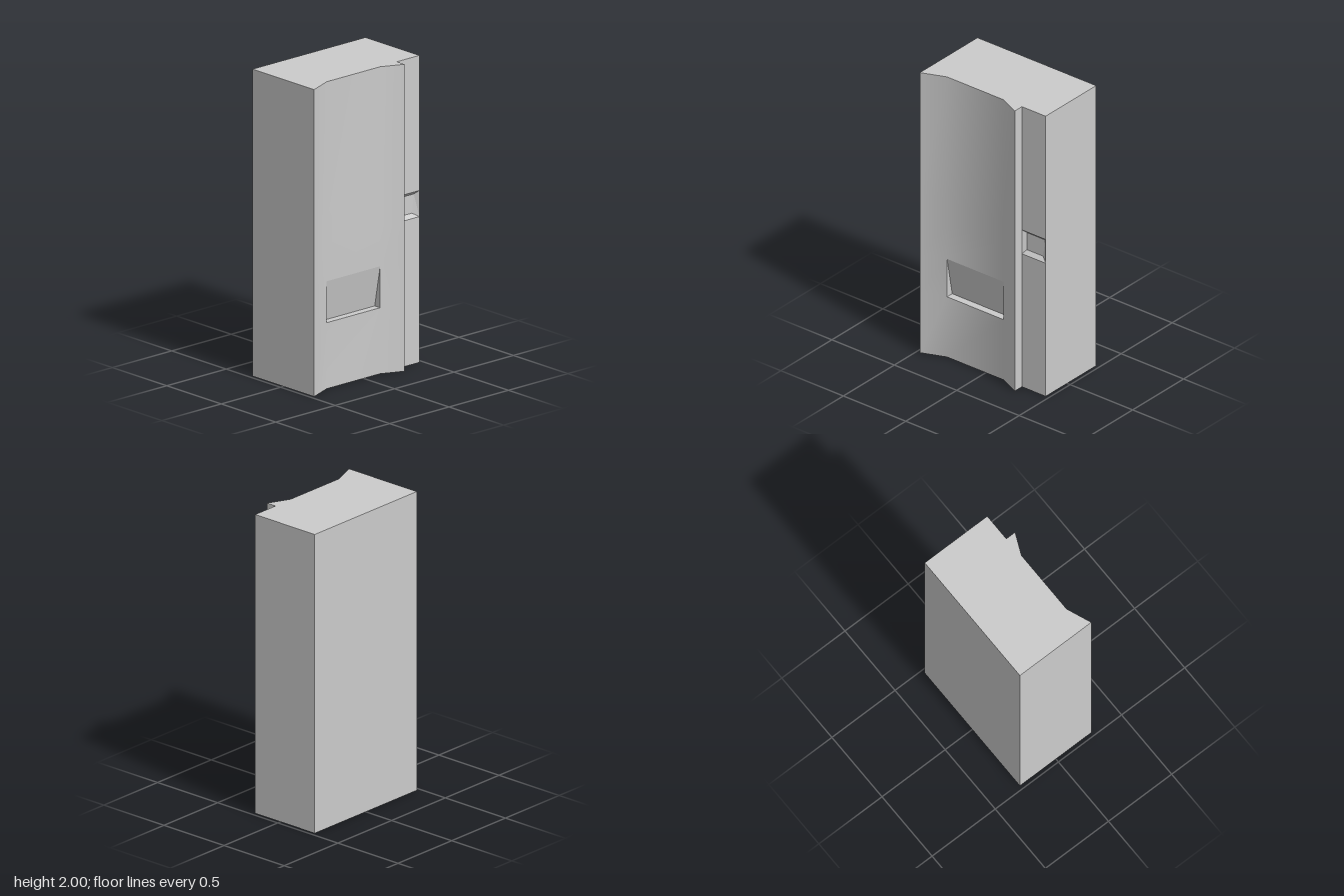
import * as THREE from 'three';
import { toCreasedNormals } from 'three/addons/utils/BufferGeometryUtils.js';

const material = new THREE.MeshStandardMaterial({ color: 0xcccccc });
const HEIGHT = 2;

// Plan outline as [x, z], front edge from left to right, then round the back
const outline = [
  [-0.475, 0.28], [-0.31, 0.215], [0.14, 0.215], [0.285, 0.28],
  [0.285, 0.21], [0.475, 0.21], [0.475, -0.285], [-0.475, -0.285],
];
// Openings in the front: outline segment and height range
const slot = { segment: 1, bottom: 0.43, top: 0.7 };
const grip = { segment: 4, bottom: 0.95, top: 1.12 };

// Mesh from polygons whose corners run counter-clockwise seen from outside
function polygonMesh(name, polygons, crease) {
  const positions = [];
  for (const p of polygons) {
    for (let i = 1; i < p.length - 1; i++) positions.push(...p[0], ...p[i], ...p[i + 1]);
  }
  let geometry = new THREE.BufferGeometry();
  geometry.setAttribute('position', new THREE.Float32BufferAttribute(positions, 3));
  geometry.computeVertexNormals();
  if (crease) geometry = toCreasedNormals(geometry, crease);
  const mesh = new THREE.Mesh(geometry, material);
  mesh.name = name;
  return mesh;
}

function cap(name, y, up) {
  const shape = new THREE.Shape(outline.map(([x, z]) => new THREE.Vector2(x, up ? -z : z)));
  const geometry = new THREE.ShapeGeometry(shape);
  geometry.rotateX(up ? -Math.PI / 2 : Math.PI / 2).translate(0, y, 0);
  const mesh = new THREE.Mesh(geometry, material);
  mesh.name = name;
  return mesh;
}

// Cabinet walls, in rows that leave the two openings free
function cabinetWalls() {
  const rows = [0, slot.bottom, slot.top, grip.bottom, grip.top, HEIGHT];
  const polygons = [];
  outline.forEach(([x0, z0], i) => {
    const [x1, z1] = outline[(i + 1) % outline.length];
    for (let r = 0; r < rows.length - 1; r++) {
      const y0 = rows[r], y1 = rows[r + 1];
      if ([slot, grip].some((o) => o.segment === i && o.bottom === y0)) continue;
      polygons.push([[x0, y0, z0], [x1, y0, z1], [x1, y1, z1], [x0, y1, z0]]);
    }
  });
  return polygonMesh('cabinetWalls', polygons, 0.6);
}

// Collection slot with a flap that leans inwards towards its lower edge
function collectionSlot() {
  const [[l, z], [r]] = [outline[1], outline[2]];
  const { bottom: b, top: t } = slot;
  const back = z - 0.05;
  return polygonMesh('collectionSlot', [
    [[l, b, back], [r, b, back], [r, t, z], [l, t, z]],
    [[l, b, z], [r, b, z], [r, b, back], [l, b, back]],
    [[l, b, z], [l, b, back], [l, t, z]],
    [[r, b, back], [r, b, z], [r, t, z]],
  ]);
}

// Shallow bevelled recess in the side panel
function gripRecess() {
  const [[l, z], [r]] = [outline[4], outline[5]];
  const { bottom: b, top: t } = grip;
  const outer = [[l, b, z], [r, b, z], [r, t, z], [l, t, z]];
  const zi = z - 0.025;
  const inner = [[0.305, 0.975, zi], [0.435, 0.975, zi], [0.45, 1.097, zi], [0.305, 1.097, zi]];
  const polygons = [inner];
  for (let i = 0; i < 4; i++) {
    const j = (i + 1) % 4;
    polygons.push([outer[i], outer[j], inner[j], inner[i]]);
  }
  return polygonMesh('gripRecess', polygons);
}

export function createModel() {
  const group = new THREE.Group();
  group.name = 'vendingCabinet';
  group.add(
    cabinetWalls(),
    cap('topPanel', HEIGHT, true),
    cap('basePanel', 0, false),
    collectionSlot(),
    gripRecess(),
  );
  return group;
}
